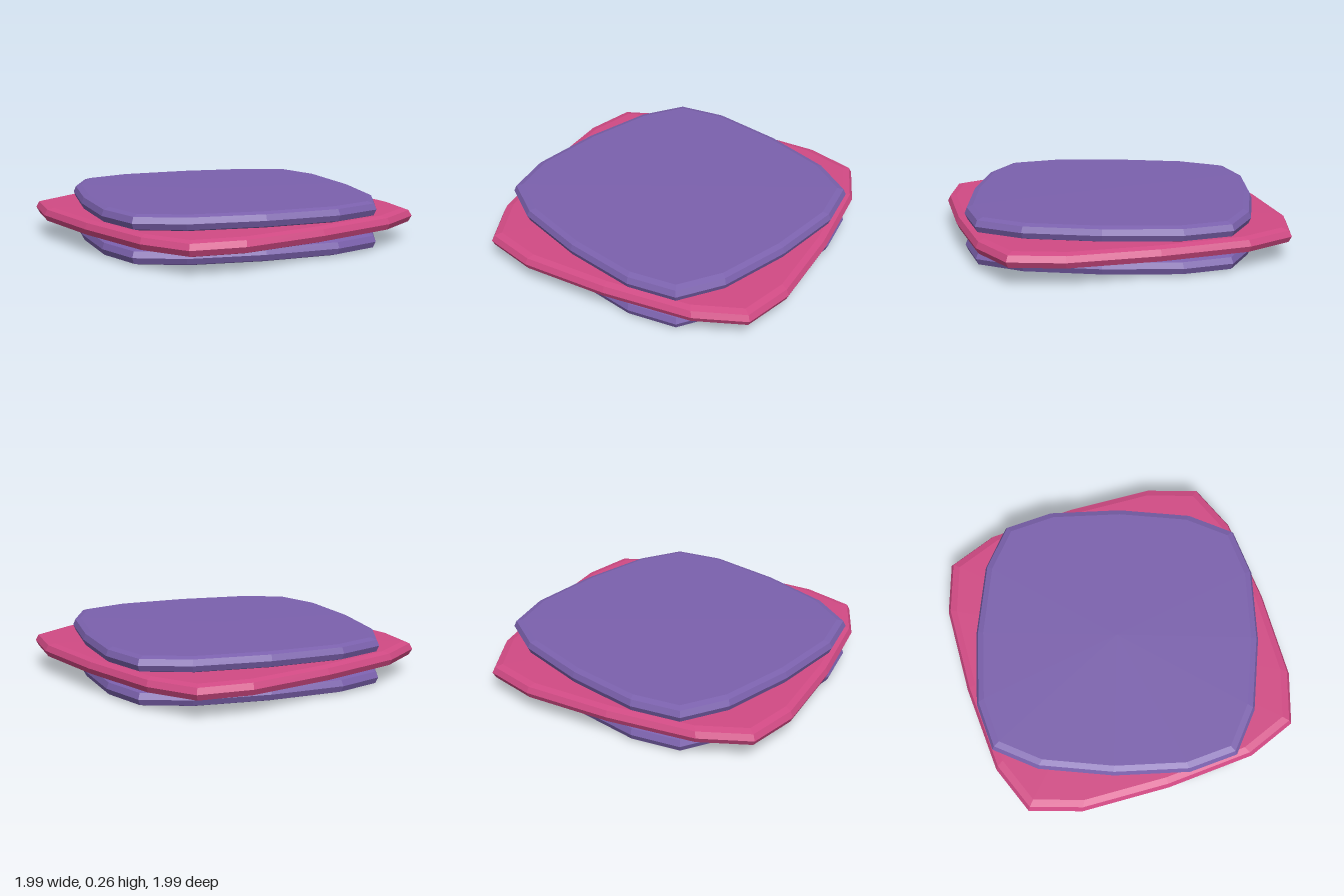
import * as THREE from 'three';

// Edge profile of every slab, bottom to top: [outline scale, height from mid-plane]
const PROFILE = [[0, -0.044], [0.945, -0.041], [0.984, -0.031], [1, 0], [0.984, 0.031], [0.945, 0.041], [0, 0.044]];

// Repeat a quarter outline [x, z] four times around the vertical axis
function fullOutline(quarter) {
  const points = [];
  for (let q = 0; q < 4; q++) {
    for (const [x, z] of quarter) {
      points.push([[x, z], [-z, x], [-x, -z], [z, -x]][q]);
    }
  }
  return points;
}

// Loft the outline through the edge profile, with faceted shading
function slabGeometry(outline) {
  const positions = [];
  const corner = (i, [s, y]) => {
    const [x, z] = outline[i % outline.length];
    return [x * s, y, z * s];
  };
  for (let r = 0; r < PROFILE.length - 1; r++) {
    const low = PROFILE[r], high = PROFILE[r + 1];
    for (let i = 0; i < outline.length; i++) {
      const a0 = corner(i, low), b0 = corner(i + 1, low);
      const a1 = corner(i, high), b1 = corner(i + 1, high);
      if (low[0] > 0) positions.push(...b0, ...a0, ...a1);
      if (high[0] > 0) positions.push(...b0, ...a1, ...b1);
    }
  }
  const geometry = new THREE.BufferGeometry();
  geometry.setAttribute('position', new THREE.Float32BufferAttribute(positions, 3));
  geometry.computeVertexNormals();
  return geometry;
}

export function createModel() {
  const group = new THREE.Group();
  group.name = 'stackedSlabs';
  const purple = new THREE.MeshStandardMaterial({ color: 0x7b61ad, flatShading: true });
  const pink = new THREE.MeshStandardMaterial({ color: 0xd14a84, flatShading: true });

  const diamond = slabGeometry(fullOutline([[0, -0.92], [0.245, -0.815], [0.55, -0.55], [0.815, -0.245]]));
  const twisted = slabGeometry(fullOutline([[-0.36, -0.995], [-0.075, -0.97], [0.37, -0.785], [0.79, -0.56]]));

  const add = (name, geometry, material, y) => {
    const mesh = new THREE.Mesh(geometry, material);
    mesh.name = name;
    mesh.position.y = y;
    group.add(mesh);
  };

  // Two matching diamond slabs around a wider, twisted one
  add('bottomSlab', diamond, purple, 0.046);
  add('middleSlab', twisted, pink, 0.132);
  add('topSlab', diamond, purple, 0.217);
  return group;
}
